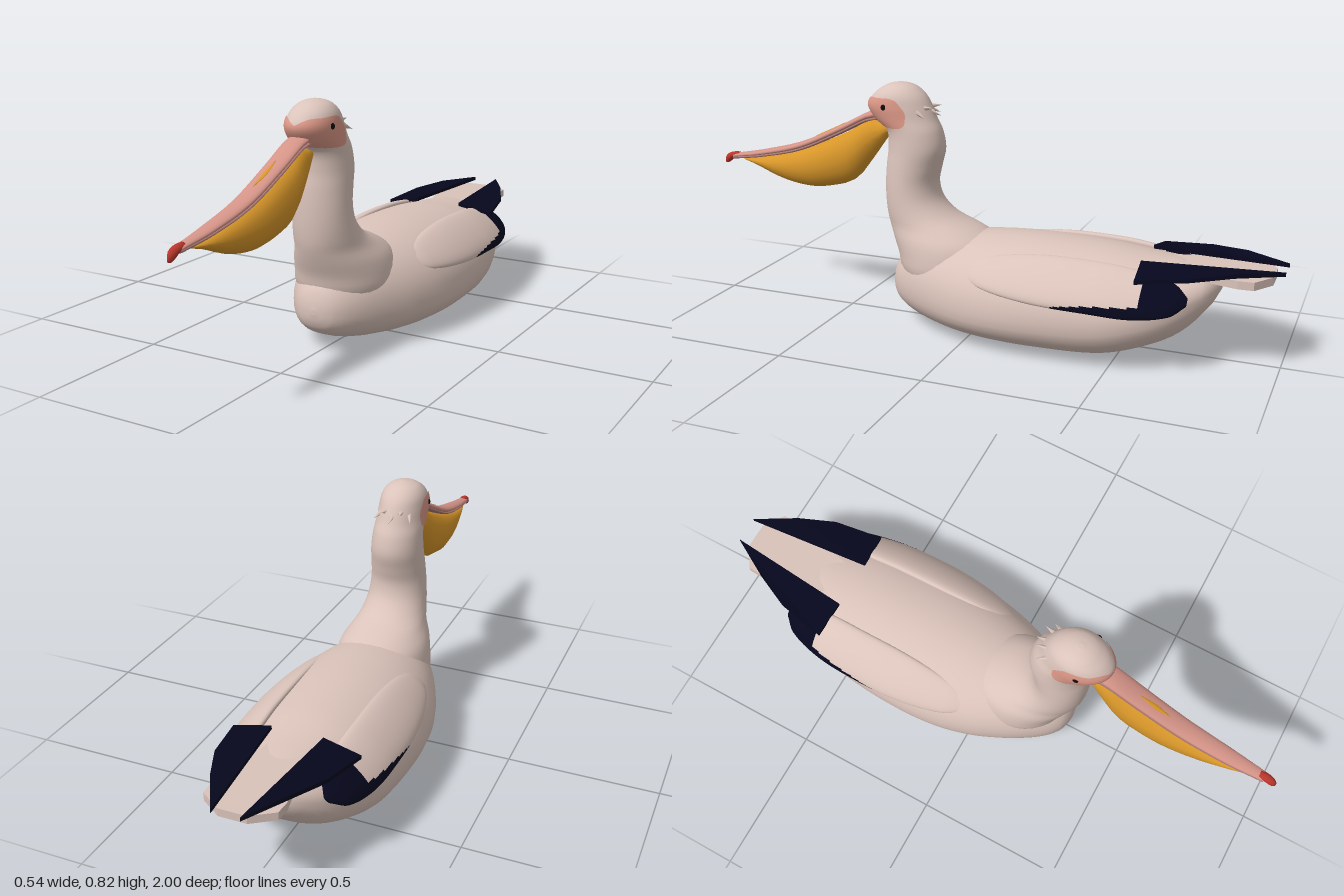
import * as THREE from 'three';

const material = (name, color) => {
  const m = new THREE.MeshStandardMaterial({ color });
  m.name = name;
  return m;
};

// Smooth interpolation through rows of [key, ...values], keys ascending
function sample(rows, t) {
  let i = 0;
  while (i < rows.length - 2 && t > rows[i + 1][0]) i++;
  const a = rows[i], b = rows[i + 1], h = b[0] - a[0];
  const u = THREE.MathUtils.clamp((t - a[0]) / h, 0, 1);
  const slope = (k, c) => {
    const p = rows[Math.max(k - 1, 0)], n = rows[Math.min(k + 1, rows.length - 1)];
    return (n[c] - p[c]) / (n[0] - p[0]);
  };
  return a.slice(1).map((v, k) => {
    const c = k + 1, u2 = u * u, u3 = u2 * u;
    return v * (2 * u3 - 3 * u2 + 1) + b[c] * (3 * u2 - 2 * u3)
      + h * (slope(i, c) * (u3 - 2 * u2 + u) + slope(i + 1, c) * (u3 - u2));
  });
}

// Skin over n+1 rings of m points; point(u, v) gives [x, y, z], pick chooses a material slot
function loft(point, n, m, { closed = true, pick = () => 0 } = {}) {
  const pos = [], faces = [[], []], cols = closed ? m : m + 1;
  for (let i = 0; i <= n; i++)
    for (let j = 0; j < cols; j++) pos.push(...point(i / n, j / m));
  const at = (i, j) => i * cols + (closed ? j % m : j);
  for (let i = 0; i < n; i++)
    for (let j = 0; j < m; j++) {
      const a = at(i, j), b = at(i, j + 1), c = at(i + 1, j + 1), d = at(i + 1, j);
      faces[pick((i + 0.5) / n, (j + 0.5) / m)].push(a, b, c, a, c, d);
    }
  if (closed) for (const i of [0, n]) {
    const mid = [0, 0, 0], id = pos.length / 3;
    for (let j = 0; j < m; j++) for (let k = 0; k < 3; k++) mid[k] += pos[at(i, j) * 3 + k] / m;
    pos.push(...mid);
    for (let j = 0; j < m; j++) {
      const e = [at(i, j), at(i, j + 1)];
      faces[pick(i / n, (j + 0.5) / m)].push(id, ...(i ? e : e.reverse()));
    }
  }
  const g = new THREE.BufferGeometry();
  g.setAttribute('position', new THREE.Float32BufferAttribute(pos, 3));
  g.setIndex(faces.flat());
  g.addGroup(0, faces[0].length, 0);
  if (faces[1].length) g.addGroup(faces[0].length, faces[1].length, 1);
  g.computeVertexNormals();
  return g;
}

// Oval sections along z, rows of [z, top, bottom, halfWidth]
function ovalLoft(rows, n, m) {
  const z0 = rows[0][0], z1 = rows[rows.length - 1][0];
  return loft((u, v) => {
    const z = z0 + (z1 - z0) * u, [top, bottom, w] = sample(rows, z), a = v * Math.PI * 2;
    return [w * Math.cos(a), (top + bottom) / 2 + (top - bottom) / 2 * Math.sin(a), z];
  }, n, m);
}

// Flat plate from [x, z] corners, thickened upward
function plate(points, depth) {
  const shape = new THREE.Shape(points.map(([x, z]) => new THREE.Vector2(x, -z)));
  return new THREE.ExtrudeGeometry(shape, { depth, bevelEnabled: false }).rotateX(-Math.PI / 2);
}

// z, top, bottom, half width, height of widest point
const BODY = [
  [-0.805, 0.27, 0.235, 0.02, 0.25], [-0.785, 0.29, 0.195, 0.085, 0.24], [-0.7, 0.308, 0.1, 0.175, 0.21],
  [-0.58, 0.32, 0.04, 0.23, 0.17], [-0.45, 0.335, 0.006, 0.256, 0.145], [-0.25, 0.343, 0, 0.268, 0.135],
  [-0.1, 0.34, 0.001, 0.258, 0.13], [0.02, 0.33, 0.005, 0.23, 0.13], [0.12, 0.315, 0.015, 0.19, 0.135],
  [0.2, 0.29, 0.03, 0.148, 0.14], [0.26, 0.25, 0.052, 0.106, 0.14], [0.295, 0.21, 0.078, 0.068, 0.14],
  [0.309, 0.175, 0.105, 0.036, 0.14], [0.314, 0.148, 0.13, 0.008, 0.139]];

// y, front z, back z, half width
const NECK = [
  [0.12, 0.24, -0.02, 0.13], [0.2, 0.284, -0.065, 0.162], [0.25, 0.296, -0.07, 0.16], [0.3, 0.316, -0.055, 0.146],
  [0.34, 0.33, 0.01, 0.122], [0.37, 0.337, 0.085, 0.111], [0.42, 0.342, 0.143, 0.102], [0.48, 0.343, 0.162, 0.096],
  [0.54, 0.34, 0.15, 0.092], [0.6, 0.333, 0.136, 0.088], [0.66, 0.34, 0.146, 0.083], [0.7, 0.385, 0.165, 0.081],
  [0.74, 0.406, 0.182, 0.08], [0.775, 0.385, 0.203, 0.072], [0.8, 0.351, 0.232, 0.053], [0.811, 0.326, 0.257, 0.031],
  [0.816, 0.3, 0.283, 0.008]];

const neckPoint = (y, a, grow = 0) => {
  const [front, back, w] = sample(NECK, y);
  return [(w + grow) * Math.sin(a), y, (front + back) / 2 + ((front - back) / 2 + grow) * Math.cos(a)];
};

const BILL = [
  [0.36, 0.722, 0.69, 0.036], [0.41, 0.708, 0.68, 0.036], [0.514, 0.655, 0.628, 0.035],
  [0.675, 0.582, 0.556, 0.032], [0.836, 0.538, 0.517, 0.026], [0.96, 0.513, 0.498, 0.016]];

const POUCH = [
  [0.332, 0.668, 0.64, 0.02], [0.41, 0.68, 0.535, 0.045], [0.47, 0.645, 0.465, 0.055], [0.55, 0.607, 0.436, 0.058],
  [0.64, 0.568, 0.424, 0.055], [0.755, 0.53, 0.44, 0.042], [0.86, 0.507, 0.48, 0.026], [0.915, 0.502, 0.495, 0.012]];

const BILL_TIP = [
  [0.94, 0.52, 0.5, 0.012], [0.965, 0.518, 0.494, 0.015], [0.988, 0.51, 0.476, 0.012], [1, 0.495, 0.476, 0.004]];

// z, centre x, centre y, half length down the flank, half thickness
const WING = [
  [-0.73, 0.172, 0.24, 0.015, 0.008], [-0.69, 0.18, 0.242, 0.055, 0.018], [-0.58, 0.19, 0.248, 0.085, 0.026],
  [-0.45, 0.198, 0.257, 0.092, 0.028], [-0.25, 0.198, 0.26, 0.088, 0.026], [-0.08, 0.188, 0.256, 0.058, 0.016],
  [0.01, 0.175, 0.25, 0.01, 0.003]];

// angle from the front, lower y, upper y
const FACE = [
  [0, 0.68, 0.747], [0.5, 0.675, 0.766], [1, 0.672, 0.768], [1.5, 0.675, 0.77], [1.8, 0.69, 0.76], [1.97, 0.718, 0.732]];

export function createModel() {
  const model = new THREE.Group();
  model.name = 'waterbird';
  const plumage = material('plumage', 0xdac3ba);
  const navy = material('flightFeathers', 0x06071d);
  const skin = material('faceSkin', 0xdb9786);
  const billPink = material('billPink', 0xd49387);
  const mauve = material('lowerBill', 0xae7c78);
  const gold = material('pouchGold', 0xd9972a);
  const red = material('billTipRed', 0xbb362c);
  const black = material('eyeBlack', 0x0c0a0c);
  const add = (name, geometry, mat) => {
    const mesh = new THREE.Mesh(geometry, mat);
    mesh.name = name;
    model.add(mesh);
    return mesh;
  };

  // Boat-shaped body with a flattened belly
  add('body', loft((u, v) => {
    const z = -0.805 + 1.119 * Math.sin(u * Math.PI / 2), [top, bottom, w, mid] = sample(BODY, z);
    const a = v * Math.PI * 2, c = Math.cos(a), s = Math.sin(a), e = s < 0 ? 0.82 : 1;
    const pow = (k) => Math.sign(k) * Math.abs(k) ** e;
    return [w * pow(c), mid + (s > 0 ? top - mid : mid - bottom) * pow(s), z];
  }, 80, 40), plumage);

  // Neck and head in one skin, rings closer together towards the crown
  add('neckAndHead', loft((u, v) =>
    neckPoint(0.12 + 0.696 * Math.sin(u * Math.PI / 2), v * Math.PI * 2), 72, 36), plumage);

  // Bare skin around the eyes
  add('facePatch', loft((u, v) => {
    const a = (v * 2 - 1) * 1.97, [low, high] = sample(FACE, Math.abs(a));
    return neckPoint(low + (high - low) * u, a, 0.003);
  }, 12, 44, { closed: false }), skin);

  // Bill, pouch and hooked tip
  add('upperBill', ovalLoft(BILL, 24, 16), billPink);
  add('lowerBill', ovalLoft(BILL.map(([z, , b, w]) => [z, b + 0.008, b - 0.005, w + 0.001]), 24, 12), mauve);
  add('pouch', ovalLoft(POUCH, 20, 14), gold);
  add('billTip', ovalLoft(BILL_TIP, 10, 10), red);
  add('billMark', ovalLoft([0.505, 0.56, 0.62].map((z, i) => {
    const top = sample(BILL, z)[0];
    return [z, top + 0.002, top - 0.005, i === 1 ? 0.009 : 0.001];
  }), 8, 8), gold);

  // Crest tufts on the back of the head
  for (let i = -2; i <= 2; i++) {
    const a = Math.PI + i * 0.36, y = i % 2 ? 0.738 : 0.722;
    const tuft = add('crestTuft', new THREE.ConeGeometry(0.015, 0.06, 6), plumage);
    tuft.position.set(...neckPoint(y, a));
    const dir = new THREE.Vector3(Math.sin(a) * 0.5, i % 2 ? 0.1 : -0.35, Math.cos(a)).normalize();
    tuft.quaternion.setFromUnitVectors(new THREE.Vector3(0, 1, 0), dir);
  }

  // Tail slab
  add('tail', plate([[-0.06, -0.62], [0.06, -0.62], [0.118, -0.87], [0.115, -0.918], [0.045, -0.965],
    [-0.045, -0.965], [-0.115, -0.918], [-0.118, -0.87]], 0.026), plumage).position.y = 0.283;

  for (const side of [1, -1]) {
    const name = side > 0 ? 'left' : 'right';

    add(name + 'Eye', new THREE.SphereGeometry(0.013, 16, 12), black)
      .position.set(side * 0.072, 0.74, 0.318);

    // Folded wing with dark trailing edge and tip
    const zAt = (u) => -0.73 + 0.74 * u;
    add(name + 'Wing', loft((u, v) => {
      const z = zAt(u), [x, y, h, t] = sample(WING, z), a = v * Math.PI * 2;
      const c = h * Math.cos(a), s = t * Math.sin(a) * side;
      return [side * (x + 0.74 * c + 0.67 * s), y - 0.67 * c + 0.74 * s, z];
    }, 72, 64, {
      pick: (u, v) => {
        const z = zAt(u), edge = 0.98 - 0.36 * THREE.MathUtils.clamp((-0.33 - z) / 0.27, 0, 1);
        return z < -0.6 || (z < -0.33 && Math.cos(v * Math.PI * 2) > edge) ? 1 : 0;
      }
    }), [plumage, navy]);

    // Long flight feathers lying over the rump, sloping outward and rising to the rear
    const feathers = plate([[0.085, -0.565], [0.21, -0.575], [0.18, -0.74], [0.125, -0.86], [0.045, -1]]
      .map(([x, z]) => [x * side, z]), 0.013);
    const p = feathers.attributes.position;
    for (let i = 0; i < p.count; i++) {
      const back = -p.getZ(i), drop = 0.2 * Math.max(0, Math.abs(p.getX(i)) - 0.09);
      p.setY(i, p.getY(i) + 0.312 - drop + 0.07 * (Math.min(back, 0.8) - 0.57) - 0.06 * Math.max(0, back - 0.8));
    }
    feathers.computeVertexNormals();
    add(name + 'FlightFeathers', feathers, navy);
  }
  return model;
}
